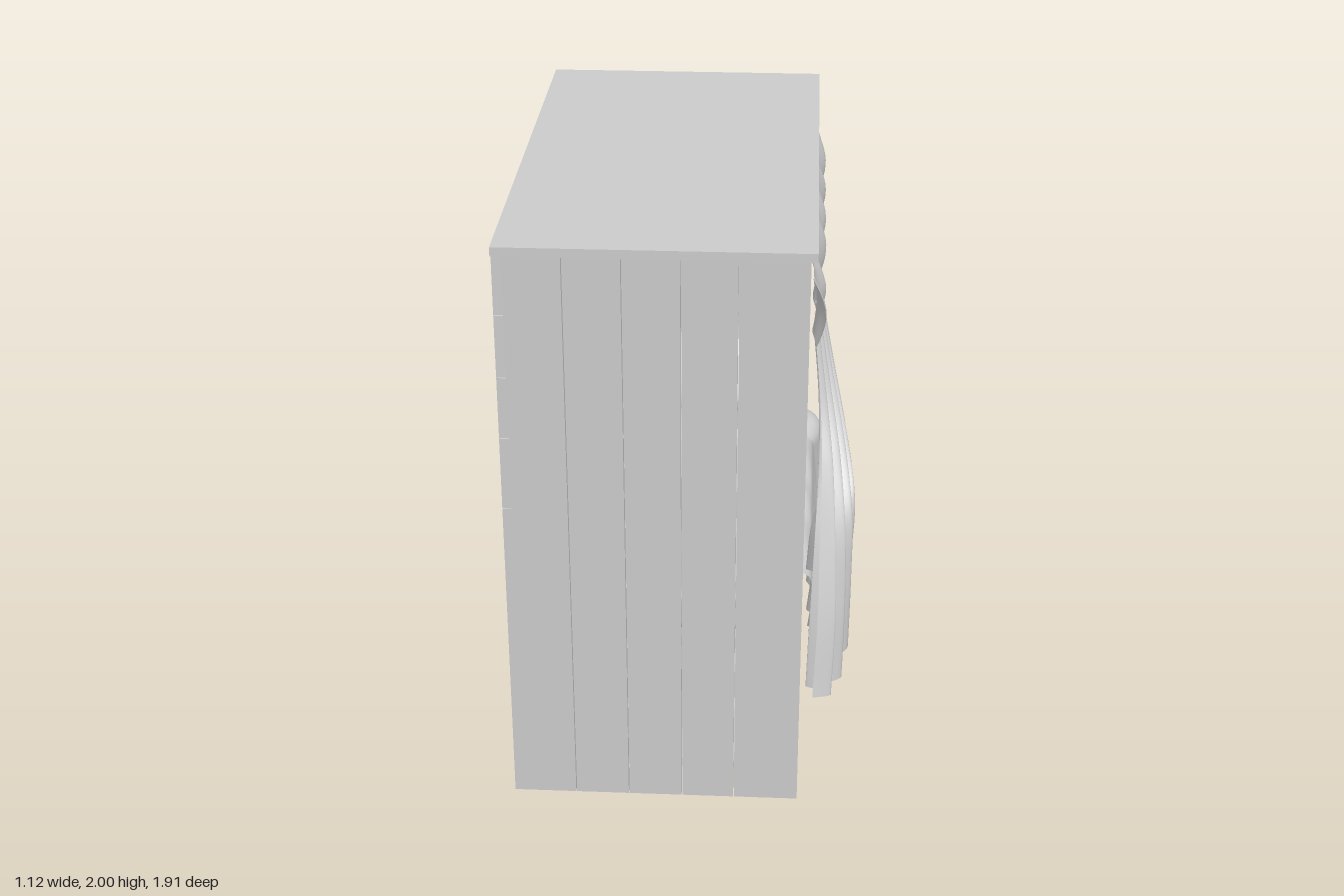
import * as THREE from 'three';
import { RoundedBoxGeometry } from 'three/addons/geometries/RoundedBoxGeometry.js';

const wood = new THREE.MeshStandardMaterial({ color: 0xcccccc });
const cloth = new THREE.MeshStandardMaterial({ color: 0xcccccc, side: THREE.DoubleSide });
const GAP = 0.003;
const lerp = THREE.MathUtils.lerp;
const smooth = THREE.MathUtils.smoothstep;

// Box given by its lower and upper limits on each axis
function box(parent, name, x0, x1, y0, y1, z0, z1) {
  const m = new THREE.Mesh(new THREE.BoxGeometry(x1 - x0, y1 - y0, z1 - z0), wood);
  m.position.set((x0 + x1) / 2, (y0 + y1) / 2, (z0 + z1) / 2);
  m.name = name;
  parent.add(m);
  return m;
}

// Calls make(from, to) for each plank between successive seams
function planks(seams, make) {
  for (let i = 0; i < seams.length - 1; i++) {
    make(seams[i] + (i ? GAP / 2 : 0), seams[i + 1] - (i < seams.length - 2 ? GAP / 2 : 0));
  }
}

// Smooth sheet: fn(u, v) returns [x, y, z] for u, v in 0..1
function sheet(name, nu, nv, fn) {
  const pos = [], index = [];
  for (let j = 0; j <= nv; j++) {
    for (let i = 0; i <= nu; i++) {
      pos.push(...fn(i / nu, j / nv));
      if (i < nu && j < nv) {
        const a = j * (nu + 1) + i, b = a + nu + 1;
        index.push(a, b, a + 1, b, b + 1, a + 1);
      }
    }
  }
  const g = new THREE.BufferGeometry();
  g.setAttribute('position', new THREE.Float32BufferAttribute(pos, 3));
  g.setIndex(index);
  g.computeVertexNormals();
  const m = new THREE.Mesh(g, cloth);
  m.name = name;
  return m;
}

// Piecewise-linear lookup in [[t, value], ...]
function lookup(table, t) {
  let i = 0;
  while (i < table.length - 2 && t > table[i + 1][0]) i++;
  const [a, b] = [table[i], table[i + 1]];
  return lerp(a[1], b[1], THREE.MathUtils.clamp((t - a[0]) / (b[0] - a[0]), 0, 1));
}

const path = pts => new THREE.CatmullRomCurve3(pts.map(p => new THREE.Vector3(...p)));

function cabinet() {
  const g = new THREE.Group();
  g.name = 'cabinet';
  box(g, 'roof', -0.58, 0.40, 1.97, 2.0, -0.96, 0.80);

  // End walls of upright planks
  const ends = [-0.55, -0.37, -0.19, -0.01, 0.165, 0.38];
  planks(ends, (a, b) => {
    box(g, 'footWallPlank', a, b, 0, 1.97, 0.75, 0.78);
    box(g, 'headWallPlank', a, b, 0, 1.97, -0.93, -0.90);
  });

  // Long wall: upright planks below, level planks above
  const low = [-0.93, -0.71, -0.5, -0.29, -0.08, 0.14, 0.35, 0.56, 0.78];
  planks(low, (a, b) => box(g, 'longWallPlank', -0.58, -0.55, 0, 1.10 - GAP, a, b));
  planks([1.10, 1.35, 1.56, 1.77, 1.97], (a, b) =>
    box(g, 'longWallUpperPlank', -0.58, -0.55, a, b, -0.93, 0.78));

  // Open side: posts, header, planked panel and sill
  box(g, 'footPost', 0.35, 0.38, 0, 1.97, 0.60, 0.75);
  box(g, 'headPost', 0.35, 0.38, 0, 1.97, -0.90, -0.75);
  box(g, 'header', 0.35, 0.38, 1.62, 1.97, -0.75, 0.60);
  const panel = [-0.75, -0.56, -0.37, -0.175, 0.02, 0.21, 0.40, 0.60];
  planks(panel, (a, b) => box(g, 'sidePanelPlank', 0.352, 0.378, 0.01, 0.62, a, b));
  box(g, 'sill', 0.33, 0.38, 0.62, 0.63, -0.75, 0.60);

  // Floor and bed base
  box(g, 'floor', -0.55, 0.352, 0.10, 0.13, -0.90, 0.75);
  box(g, 'bedBase', -0.55, 0.35, 0.58, 0.62, -0.90, 0.75);
  return g;
}

function pillow(w, h, t) {
  const g = new THREE.Group();
  g.name = 'pillow';
  for (const s of [1, -1]) {
    g.add(sheet('pillowHalf', 24, 20, (u, v) => {
      const a = Math.sin((u - 0.5) * Math.PI), b = Math.sin((v - 0.5) * Math.PI);
      const puff = Math.pow(Math.max(0, (1 - a * a) * (1 - b * b)), 0.4);
      return [w * a * (0.94 + 0.06 * b * b), h * b * (0.93 + 0.07 * a * a), s * t * puff];
    }));
  }
  return g;
}

// Blanket surface: v runs over the mattress and down the open side
const hem = [[0, 0.64], [0.04, 0.52], [0.17, 0.40], [0.33, 0.32], [0.5, 0.24],
  [0.64, 0.185], [0.72, 0.18], [0.8, 0.165], [0.93, 0.135], [1, 0.20]];
function blanketPoint(u, v, lift = 0) {
  const zEdge = lerp(0.60, -0.575, u);
  const crumple = 0.007 * Math.sin(u * 23 + v * 9) + 0.005 * Math.sin(u * 11 - v * 17);
  if (v < 0.4) {
    const t = v / 0.4;
    return [lerp(-0.53, 0.365, t), 0.795 + crumple + lift, zEdge + (1 - t) * 0.12 * (1 - u)];
  }
  if (v < 0.5) {
    const a = (v - 0.4) / 0.1 * Math.PI / 2;
    return [0.365 + (0.045 + lift) * Math.sin(a),
      0.75 + (0.045 + lift) * Math.cos(a) + crumple * Math.cos(a), zEdge];
  }
  const d = (v - 0.5) / 0.5;
  const fold = 0.5 + 0.5 * Math.sin(u * 27 + 0.8 + 0.5 * Math.sin(u * 9));
  const flare = smooth(d, 0, 1) * (0.2 + 0.8 * u);
  return [0.41 + lift + fold * 0.075 * flare - 0.012 * flare + 0.02 * Math.sin(d * Math.PI),
    lerp(0.75, lookup(hem, u), d) + 0.008 * d * Math.sin(u * 40),
    zEdge - 0.02 * Math.sin(d * 3) * u + 0.008 * d * Math.sin(u * 20)];
}

function bedding() {
  const g = new THREE.Group();
  g.name = 'bedding';
  const mattress = new THREE.Mesh(new RoundedBoxGeometry(0.88, 0.15, 1.62, 4, 0.04), wood);
  mattress.name = 'mattress';
  mattress.position.set(-0.1, 0.70, -0.08);
  g.add(mattress);

  g.add(sheet('blanket', 90, 60, (u, v) => blanketPoint(u, v)));
  // Turned-back cuff along the head edge
  g.add(sheet('blanketCuff', 16, 60, (u, v) => {
    const lift = (0.045 * (1 - v) + 0.008) * Math.sin(u * Math.PI) + 0.004;
    return blanketPoint(lerp(0.74 + 0.18 * v, 1.01, u), v * 0.97, lift);
  }));

  // Two pillows leaning on the head wall
  const front = pillow(0.27, 0.19, 0.085);
  front.position.set(-0.05, 0.94, -0.64);
  front.rotation.set(-0.7, 0, 0.03);
  const rear = pillow(0.27, 0.19, 0.08);
  rear.position.set(0.07, 0.93, -0.74);
  rear.rotation.set(-0.65, 0, -0.04);
  g.add(front, rear);
  return g;
}

function drapes() {
  const g = new THREE.Group();
  g.name = 'drapes';

  // Valance with a peaked upper edge
  const peaks = [[0, 1.865], [0.2, 1.80], [0.38, 1.865], [0.53, 1.83],
    [0.66, 1.865], [0.835, 1.82], [1, 1.865]];
  g.add(sheet('valance', 72, 14, (u, v) => {
    const y = lerp(1.62 + 0.015 * Math.max(0, 1 - u * 8), lookup(peaks, u), v);
    const wave = 0.5 + 0.5 * Math.sin(u * 34 + 1);
    return [0.39 + 0.025 * Math.sin(v * Math.PI) * (0.4 + wave) + 0.012 * wave * (1 - v),
      y, lerp(0.68, -0.85, u) + 0.008 * (v - 0.5) * (u < 0.5 ? 1 : -1)];
  }));

  // Curtain drawn to the foot post, between an outer and an inner edge
  const outer = path([[0.40, 1.64, 0.58], [0.42, 1.45, 0.66], [0.43, 1.28, 0.75],
    [0.43, 1.05, 0.83], [0.43, 0.80, 0.90], [0.42, 0.53, 0.95]]);
  const inner = path([[0.40, 1.64, 0.07], [0.43, 1.46, 0.21], [0.46, 1.31, 0.46],
    [0.47, 1.20, 0.67], [0.43, 1.02, 0.61], [0.41, 0.78, 0.50]]);
  const a = new THREE.Vector3(), b = new THREE.Vector3();
  g.add(sheet('curtain', 110, 50, (u, v) => {
    outer.getPoint(v, a);
    inner.getPoint(v, b);
    const s = Math.sin(u * Math.PI * 11), c = Math.cos(u * Math.PI * 11);
    const depth = lerp(0.012, 0.05, smooth(v, 0, 0.9));
    const belly = Math.sin(u * Math.PI) * lerp(0.01, 0.07, v);
    const sag = v * v * 0.04 * Math.sin(u * Math.PI * 2);
    const p = a.clone().lerp(b, u);
    return [Math.max(p.x + s * depth + belly, u > 0.8 ? 0.385 : 0.37),
      p.y - sag, p.z + c * 0.015 * v * Math.sin(u * Math.PI)];
  }));
  return g;
}

export function createModel() {
  const model = new THREE.Group();
  model.name = 'cupboardBed';
  model.add(cabinet(), bedding(), drapes());
  return model;
}
